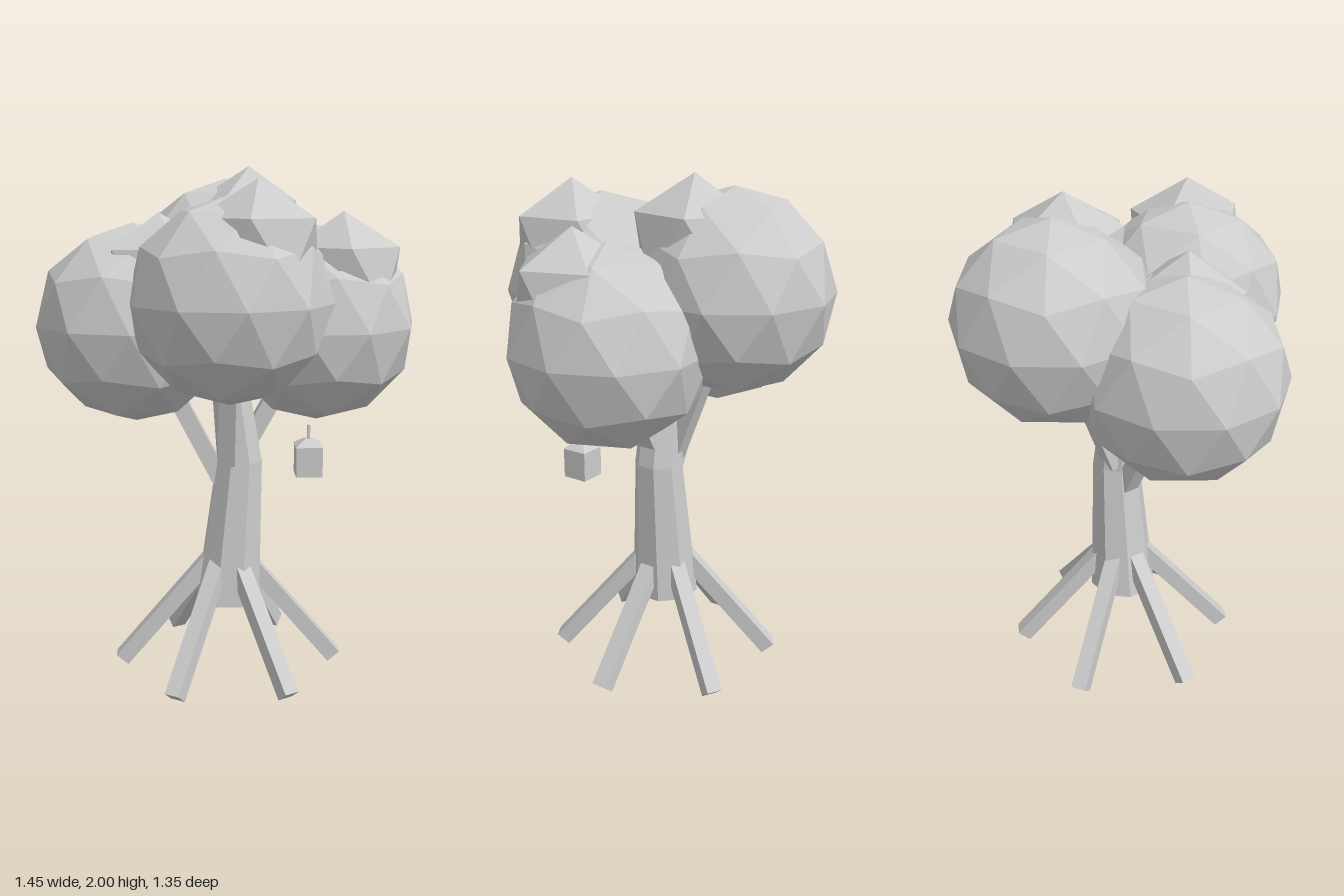
import * as THREE from 'three';

const rad = THREE.MathUtils.degToRad;

// Faceted shading: every face gets its own normal.
function facet(geo) {
  const g = geo.index ? geo.toNonIndexed() : geo;
  g.computeVertexNormals();
  return g;
}

// Icosphere with a vertex at each pole; ringAngle (degrees, x towards z) places its upper ring.
function icosphere(radius, detail, ringAngle) {
  const g = new THREE.IcosahedronGeometry(radius, detail);
  g.rotateX(-Math.atan((1 + Math.sqrt(5)) / 2));
  g.rotateY(rad(90 - ringAngle));
  return facet(g);
}

// Eight-sided tapered trunk piece, sheared sideways so both ends stay level.
function trunkPiece(x0, y0, r0, x1, y1, r1) {
  const h = y1 - y0;
  const g = new THREE.CylinderGeometry(r1, r0, h, 8);
  g.rotateY(Math.PI / 8);
  const p = g.attributes.position;
  for (let i = 0; i < p.count; i++) {
    const t = p.getY(i) / h + 0.5;
    p.setX(i, p.getX(i) + THREE.MathUtils.lerp(x0, x1, t));
    p.setY(i, p.getY(i) + y0 + h / 2);
  }
  return facet(g);
}

// Square beam running from a to b.
function beam(a, b, width, material) {
  const from = new THREE.Vector3(...a), to = new THREE.Vector3(...b);
  const mesh = new THREE.Mesh(new THREE.BoxGeometry(width, width, from.distanceTo(to)), material);
  mesh.position.copy(from).lerp(to, 0.5);
  mesh.lookAt(to);
  return mesh;
}

export function createModel() {
  const tree = new THREE.Group();
  tree.name = 'tree';
  const grey = new THREE.MeshStandardMaterial({ color: 0xcccccc });
  grey.name = 'light grey';

  const add = (name, mesh, parent = tree) => {
    mesh.name = name;
    parent.add(mesh);
    return mesh;
  };

  // Trunk with a slight bend
  add('lowerTrunk', new THREE.Mesh(trunkPiece(0, 0.28, 0.135, 0.045, 0.86, 0.095), grey));
  add('upperTrunk', new THREE.Mesh(trunkPiece(0.045, 0.86, 0.095, -0.02, 1.4, 0.065), grey));

  // Six splayed roots
  for (let i = 0; i < 6; i++) {
    const c = Math.cos(i * Math.PI / 3), s = Math.sin(i * Math.PI / 3);
    add('root', beam([c * 0.07, 0.45, s * 0.07], [c * 0.435, 0.02, s * 0.435], 0.062, grey));
  }

  // Branches reaching into the crowns
  const branches = [
    ['leftBranch', [0.05, 0.88, 0], [0.33, 1.38, 0]],
    ['rightBranch', [-0.03, 0.78, 0], [-0.34, 1.38, 0]],
    ['frontBranch', [-0.01, 0.84, 0.05], [-0.01, 1.45, 0.28]],
    ['backBranch', [0, 0.88, -0.04], [0, 1.5, -0.28]],
  ];
  for (const [name, a, b] of branches) add(name, beam(a, b, 0.066, grey));

  // Large crowns, then small clumps on top: position, radius, detail, ring angle
  const foliage = [
    ['leftCrown', [0.35, 1.4, 0], 0.378, 1, 49],
    ['rightCrown', [-0.36, 1.405, 0], 0.383, 1, 0],
    ['frontCrown', [-0.005, 1.515, 0.3], 0.376, 1, 65],
    ['backCrown', [0, 1.575, -0.3], 0.378, 1, -70],
    ['leftClump', [0.43, 1.595, 0.09], 0.237, 0, 18],
    ['rightClump', [-0.26, 1.59, 0.09], 0.237, 0, -1],
    ['frontClump', [0.09, 1.705, 0.37], 0.241, 0, 28],
    ['backClump', [0.09, 1.76, -0.19], 0.24, 0, 48],
  ];
  for (const [name, position, radius, detail, angle] of foliage) {
    const mesh = add(name, new THREE.Mesh(icosphere(radius, detail, angle), grey));
    mesh.position.set(...position);
  }

  // Hanging lantern
  const lantern = add('lantern', new THREE.Group());
  lantern.position.set(0.3, 0, 0.18);
  const body = add('lanternBody', new THREE.Mesh(new THREE.BoxGeometry(0.1, 0.115, 0.1), grey), lantern);
  body.position.y = 0.9;
  const roofGeo = new THREE.CylinderGeometry(0.02, 0.074, 0.027, 4);
  roofGeo.rotateY(Math.PI / 4);
  const roof = add('lanternRoof', new THREE.Mesh(facet(roofGeo), grey), lantern);
  roof.position.y = 0.971;
  const hanger = add('lanternHanger', new THREE.Mesh(new THREE.BoxGeometry(0.011, 0.06, 0.011), grey), lantern);
  hanger.position.y = 1.006;

  return tree;
}
